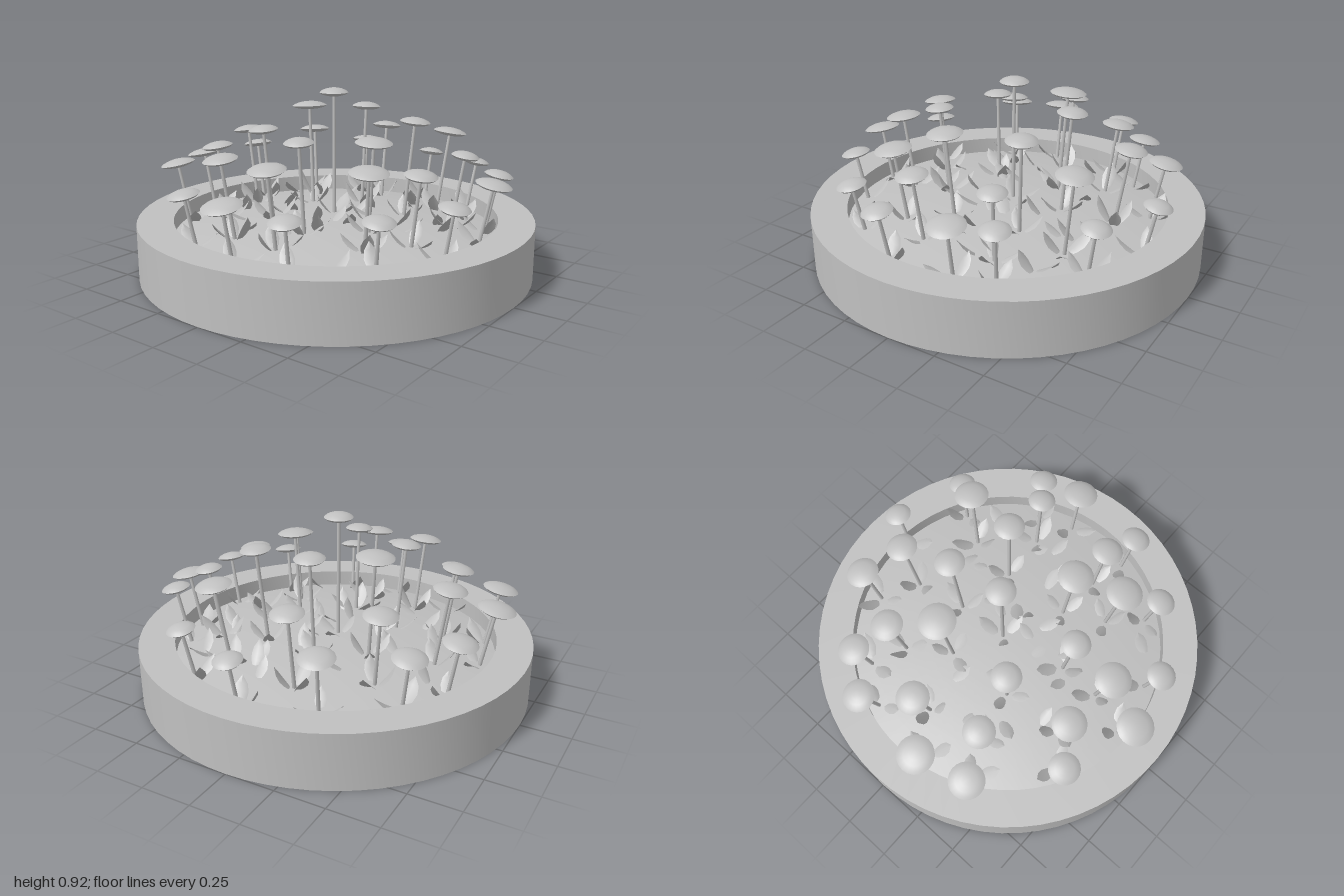
import * as THREE from 'three';
import { toCreasedNormals } from 'three/addons/utils/BufferGeometryUtils.js';

const UP = new THREE.Vector3(0, 1, 0);
const BOWL = 0.82; // inner radius of the planter
const floorY = r => 0.195 + 0.08 * (1 - (r / BOWL) ** 2);

// cap centre x, z, top height, cap radius
const MUSHROOMS = [
  [0.07, -0.845, 0.49, 0.07], [-0.305, -0.727, 0.54, 0.085], [0.43, -0.71, 0.5, 0.07],
  [-0.1, -0.625, 0.66, 0.08], [0.345, -0.555, 0.68, 0.088], [-0.625, -0.48, 0.505, 0.083],
  [-0.445, -0.4, 0.635, 0.083], [-0.045, -0.335, 0.81, 0.076], [0.72, -0.38, 0.53, 0.073],
  [-0.78, -0.285, 0.53, 0.083], [0.583, -0.28, 0.625, 0.07], [0.305, -0.26, 0.77, 0.078],
  [-0.305, -0.175, 0.81, 0.093], [0.79, -0.18, 0.53, 0.09], [-0.63, -0.043, 0.665, 0.083],
  [-0.027, -0.02, 0.92, 0.073], [-0.807, 0.125, 0.54, 0.095], [0.33, 0.15, 0.73, 0.09],
  [0.59, 0.155, 0.61, 0.08], [0.79, 0.2, 0.5, 0.075], [-0.278, 0.235, 0.74, 0.075],
  [-0.54, 0.295, 0.635, 0.08], [-0.737, 0.39, 0.535, 0.09], [0.062, 0.375, 0.735, 0.073],
  [0.453, 0.37, 0.645, 0.093], [0.605, 0.515, 0.48, 0.075], [-0.235, 0.59, 0.655, 0.085],
  [0.068, 0.61, 0.65, 0.09], [-0.38, 0.695, 0.485, 0.08], [0.293, 0.76, 0.485, 0.075],
  [-0.005, 0.825, 0.52, 0.095],
];

// x, z of loose leaves between the mushrooms
const LOOSE_LEAVES = [
  [0.5, -0.49], [0.5, -0.4], [0.1, -0.53], [0.19, -0.44], [0.19, -0.38], [-0.18, -0.35],
  [0.08, -0.19], [0.07, -0.12], [0.14, -0.06], [0.14, 0.03], [0.17, 0.12], [0.08, 0.08],
  [0.04, 0.18], [-0.34, -0.04], [-0.22, 0.09], [-0.22, 0.18], [-0.47, 0.16], [-0.39, 0.31],
  [-0.57, -0.2], [0.45, -0.02], [0.38, -0.02], [0.5, -0.2], [0.56, -0.12], [0.44, 0.57],
  [-0.22, 0.45], [0.11, 0.31], [-0.02, 0.37],
];

function seeded(seed) {
  return () => (seed = (seed * 16807) % 2147483647) / 2147483647;
}

function lathe(points, segments) {
  const pts = points.map(([x, y]) => new THREE.Vector2(x, y));
  return toCreasedNormals(new THREE.LatheGeometry(pts, segments), 0.5);
}

// pointed leaf growing along +y, slightly folded on its midrib
function leafGeometry() {
  const g = new THREE.PlaneGeometry(2, 1, 2, 4);
  const p = g.attributes.position;
  const half = [0.012, 0.026, 0.033, 0.026, 0];
  for (let i = 0; i < p.count; i++) {
    const t = p.getY(i) + 0.5;
    const x = p.getX(i) * half[Math.round(t * 4)];
    p.setXYZ(i, x, t * 0.15, Math.abs(x) * 0.3 - 0.015 * t * t);
  }
  g.computeVertexNormals();
  return g;
}

export function createModel() {
  const model = new THREE.Group();
  const grey = new THREE.MeshStandardMaterial({ color: 0xc0c0c0, side: THREE.DoubleSide });
  grey.name = 'plain grey';
  const rand = seeded(4711);

  const add = (parent, name, geometry) => {
    const mesh = new THREE.Mesh(geometry, grey);
    mesh.name = name;
    parent.add(mesh);
    return mesh;
  };

  // round planter with a wide flat rim
  add(model, 'planter', lathe([[0, 0], [1, 0], [1, 0.28], [BOWL, 0.28], [BOWL, 0.18]], 64));

  // gently domed soil
  const soil = [];
  for (let i = 8; i >= 0; i--) soil.push([(BOWL * i) / 8, floorY((BOWL * i) / 8)]);
  add(model, 'soil', lathe(soil, 48));

  const capGeo = lathe([[0, -0.016], [0.5, -0.018], [0.85, -0.011], [1, -0.001],
    [0.85, 0.008], [0.6, 0.016], [0.3, 0.021], [0, 0.023]], 20);
  const stemGeo = new THREE.CylinderGeometry(0.008, 0.01, 1, 8, 1, true);
  stemGeo.translate(0, 0.5, 0);
  const leafGeo = leafGeometry();

  const addLeaf = (x, z, heading) => {
    const leaf = add(model, 'leaf', leafGeo);
    leaf.position.set(x, floorY(Math.hypot(x, z)) - 0.008, z);
    leaf.rotation.order = 'YXZ';
    leaf.rotation.set(0.65 + rand() * 0.5, heading, (rand() - 0.5) * 0.5);
    leaf.scale.setScalar(0.8 + rand() * 0.3);
  };

  // mushrooms lean outwards, more towards the rim
  for (const [x, z, top, radius] of MUSHROOMS) {
    const axis = new THREE.Vector3(x * 0.25, 1, z * 0.25).normalize();
    const capPos = new THREE.Vector3(x, top - 0.023, z);
    const length = (capPos.y - floorY(Math.hypot(x, z) * 0.93) + 0.01) / axis.y;

    const mushroom = new THREE.Group();
    mushroom.name = 'mushroom';
    mushroom.position.copy(capPos).addScaledVector(axis, -length);
    mushroom.quaternion.setFromUnitVectors(UP, axis);
    add(mushroom, 'stem', stemGeo).scale.y = length;
    const cap = add(mushroom, 'cap', capGeo);
    cap.position.y = length;
    cap.scale.set(radius, 1, radius);
    model.add(mushroom);

    // leaves around the foot of the stem
    const start = rand() * Math.PI * 2;
    for (let i = 0; i < 3; i++) {
      const a = start + i * 2.1 + rand() * 0.5;
      const lx = mushroom.position.x + Math.sin(a) * 0.015;
      const lz = mushroom.position.z + Math.cos(a) * 0.015;
      // keep the tip inside the bowl
      if (Math.hypot(lx + Math.sin(a) * 0.11, lz + Math.cos(a) * 0.11) < BOWL) addLeaf(lx, lz, a);
    }
  }

  // loose leaves, centred on their listed spots
  for (const [x, z] of LOOSE_LEAVES) {
    const a = rand() * Math.PI * 2;
    addLeaf(x - Math.sin(a) * 0.05, z - Math.cos(a) * 0.05, a);
  }

  return model;
}
